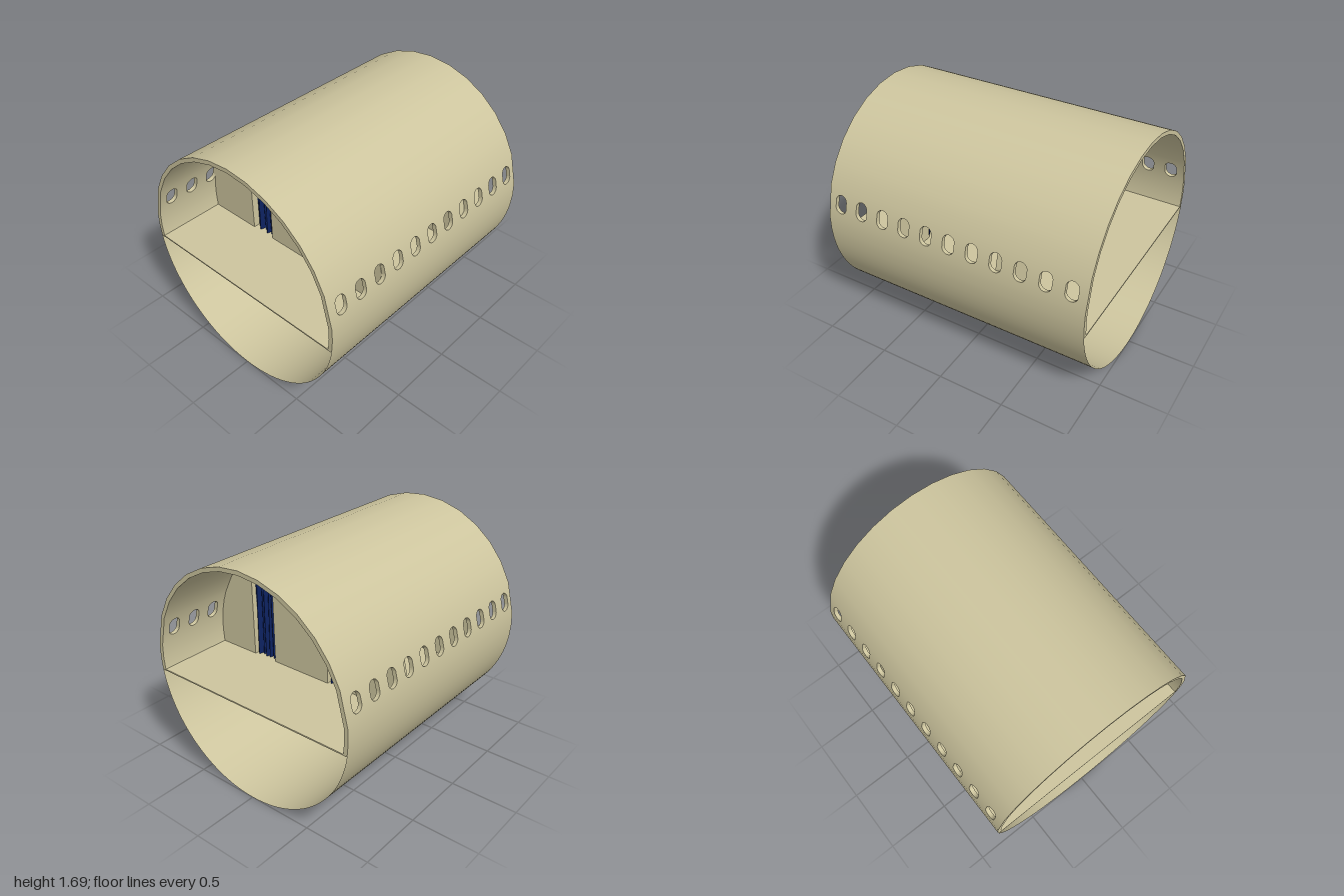
import * as THREE from 'three';

const R = 0.845, T = 0.03, CY = 0.845, FLOOR = 0.73;
const rad = THREE.MathUtils.degToRad;

// Wrap a flat plate (x, angle, depth) round the hull axis
function bend(geo) {
  const p = geo.attributes.position, n = geo.attributes.normal;
  for (let i = 0; i < p.count; i++) {
    const a = p.getY(i), r = R - T + p.getZ(i), s = Math.sin(a), c = Math.cos(a);
    const ny = n.getY(i), nz = n.getZ(i);
    p.setXYZ(i, p.getX(i), CY + r * s, r * c);
    n.setXYZ(i, n.getX(i), ny * c + nz * s, nz * c - ny * s);
  }
  return geo;
}

// Thick curved panel between two angles
function panel(a0, a1, segs) {
  const g = new THREE.BoxGeometry(2, a1 - a0, T, 1, segs, 1);
  g.translate(0, (a0 + a1) / 2, T / 2);
  return bend(g);
}

// Curved strip pierced by the row of oval windows
function windowStrip(a0, a1) {
  const s = new THREE.Shape();
  s.moveTo(-1, a0);
  s.lineTo(1, a0);
  s.lineTo(1, a1);
  s.lineTo(-1, a1);
  s.closePath();
  const w = 0.045, k = 1 / R, mid = rad(13.7), straight = 0.024;
  for (let i = 0; i < 11; i++) {
    const x = (i - 5) * 0.179, pts = [];
    for (let j = 0; j < 24; j++) {
      const t = ((j + 0.5) / 24) * Math.PI * 2;
      const y = w * Math.sin(t) + Math.sign(Math.sin(t)) * straight;
      pts.push(new THREE.Vector2(x + w * Math.cos(t), mid + y * k));
    }
    s.holes.push(new THREE.Path(pts));
  }
  return bend(new THREE.ExtrudeGeometry(s, { depth: T, bevelEnabled: false }));
}

// Cross wall with two doorways open to the floor
const DOORS = [[0.28, 0.48], [-0.40, -0.21]];
const DOOR_TOP = 1.37;
function bulkheadGeometry(depth) {
  const r = R - T, s = new THREE.Shape();
  const a = Math.asin((FLOOR - CY) / r);
  s.moveTo(-r * Math.cos(a), FLOOR);
  for (const [z0, z1] of DOORS) {
    s.lineTo(-z1, FLOOR);
    s.lineTo(-z1, DOOR_TOP);
    s.lineTo(-z0, DOOR_TOP);
    s.lineTo(-z0, FLOOR);
  }
  for (let i = 0; i <= 32; i++) {
    const t = a + ((Math.PI - 2 * a) * i) / 32;
    s.lineTo(r * Math.cos(t), CY + r * Math.sin(t));
  }
  const g = new THREE.ExtrudeGeometry(s, { depth, bevelEnabled: false });
  return g.rotateY(Math.PI / 2);
}

// Hanging cloth with uneven vertical folds
function curtainGeometry(z0, z1) {
  const h = 1.34 - FLOOR;
  const g = new THREE.PlaneGeometry(z1 - z0, h, 80, 6);
  g.rotateY(Math.PI / 2);
  const p = g.attributes.position;
  for (let i = 0; i < p.count; i++) {
    const z = p.getZ(i), drop = 0.5 - p.getY(i) / h;
    const fold = Math.sin(z * 190) * 0.014 + Math.sin(z * 83 + 1 + drop) * 0.01;
    p.setX(i, fold * (0.7 + 0.5 * drop));
  }
  g.translate(0, FLOOR + h / 2, (z0 + z1) / 2);
  g.computeVertexNormals();
  return g;
}

export function createModel() {
  const model = new THREE.Group();
  const hull = new THREE.MeshStandardMaterial({ color: 0xcdc59e, side: THREE.DoubleSide });
  hull.name = 'cream panel';
  const cloth = new THREE.MeshStandardMaterial({ color: 0x0d2260, side: THREE.DoubleSide });
  cloth.name = 'navy cloth';
  const add = (name, geo, mat = hull, parent = model) => {
    const m = new THREE.Mesh(geo, mat);
    m.name = name;
    parent.add(m);
    return m;
  };

  // Outer shell: roof, window strips and lower side panels
  const low = rad(-8), sill = rad(5.4), head = rad(22);
  add('roof', panel(head, Math.PI - head, 12));
  const strip = windowStrip(sill, head), side = panel(low, sill, 2);
  for (const [name, turn] of [['front', 0], ['back', Math.PI]]) {
    add(name + 'WindowStrip', strip).rotation.y = turn;
    add(name + 'SidePanel', side).rotation.y = turn;
  }

  // Thin belly skin below the floor
  const belly = new THREE.PlaneGeometry(2, Math.PI + 2 * low, 1, 48);
  belly.translate(0, -Math.PI / 2, T);
  add('bellySkin', bend(belly));

  // Cabin floor
  const floor = new THREE.BoxGeometry(2, 0.01, 1.66);
  add('floor', floor).position.y = FLOOR - 0.003;

  // Two cross walls with curtained doorways
  const depth = 0.08, wall = bulkheadGeometry(depth);
  for (const [name, x] of [['left', 0.35], ['right', -0.495]]) {
    const group = new THREE.Group();
    group.name = name + 'Bulkhead';
    group.position.x = x;
    model.add(group);
    add('wall', wall, hull, group);
    for (const [z0, z1] of DOORS) {
      add('curtain', curtainGeometry(z0, z1), cloth, group).position.x = depth / 2;
    }
  }

  // Partition between the aisles
  const partition = new THREE.BoxGeometry(0.095, 0.88, 0.56);
  add('centrePartition', partition).position.set(-0.005, FLOOR + 0.44, 0);

  return model;
}
